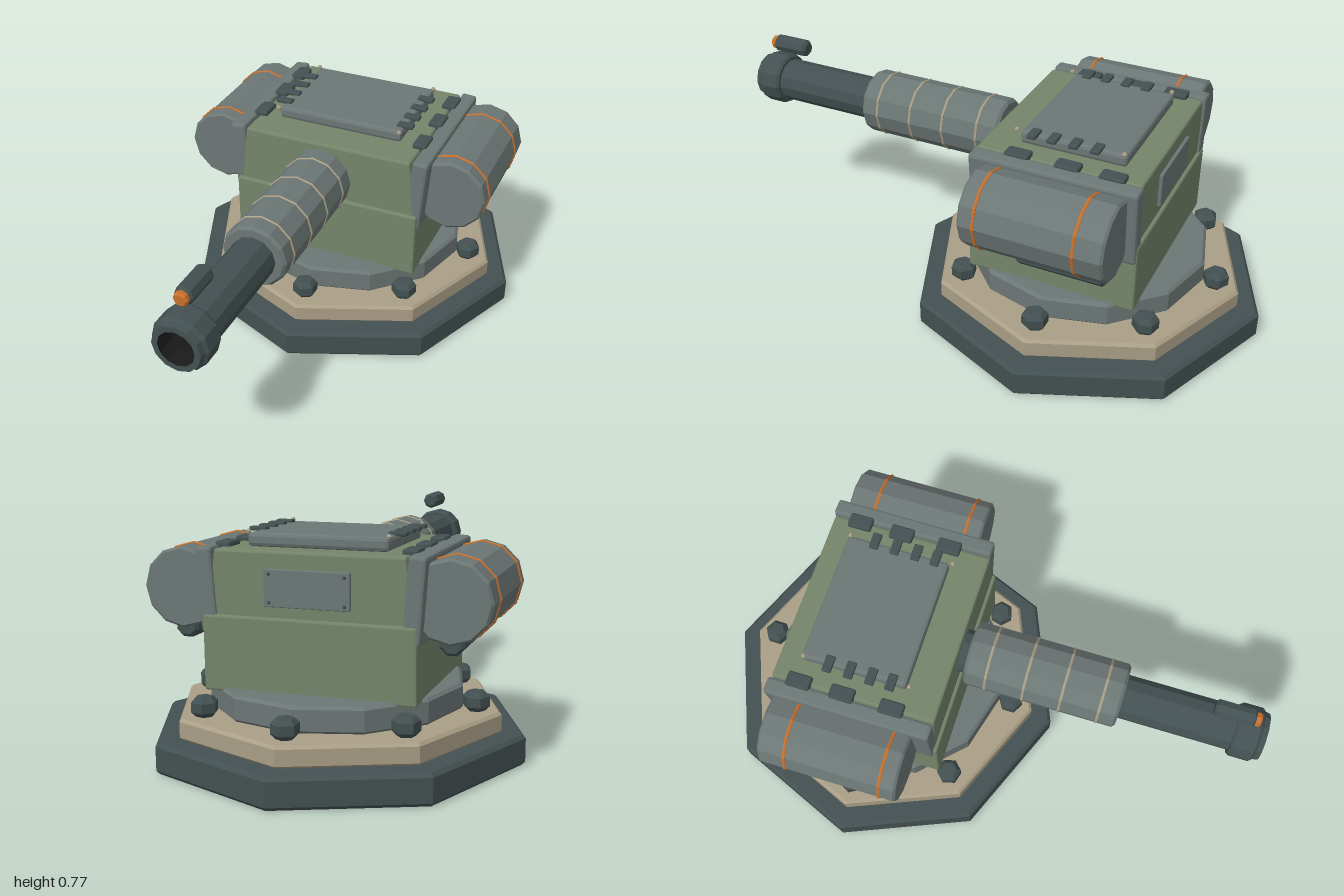
import * as THREE from 'three';
import { RoundedBoxGeometry } from 'three/addons/geometries/RoundedBoxGeometry.js';

const mat = (name, color) => {
  const m = new THREE.MeshStandardMaterial({ color, flatShading: true });
  m.name = name;
  return m;
};

export function createModel() {
  const dark = mat('dark steel', 0x435051);
  const grey = mat('grey steel', 0x6c7775);
  const tan = mat('sand', 0xaa9f86);
  const green = mat('olive green', 0x74846a);
  const orange = mat('orange', 0xc8702c);
  const black = mat('bore black', 0x1c1c1c);

  const model = new THREE.Group();
  model.name = 'turret';
  const cz = -0.36; // turntable centre

  const add = (name, geo, material, x = 0, y = 0, z = 0, parent = model) => {
    const m = new THREE.Mesh(geo, material);
    m.name = name;
    m.position.set(x, y, z);
    parent.add(m);
    return m;
  };
  // Chamfered disc or drum standing on y = 0
  const drum = (r, h, sides, c) => new THREE.LatheGeometry(
    [[0, 0], [r - c, 0], [r, c], [r, h - c], [r - c, h], [0, h]].map(p => new THREE.Vector2(...p)), sides);
  // The same lying along z, starting at z = 0
  const drumZ = (r, l, sides, c) => drum(r, l, sides, c).rotateX(Math.PI / 2);
  const block = (w, h, d, c = 0.008) => new RoundedBoxGeometry(w, h, d, 1, c);

  // Stepped base
  add('basePlate', drum(0.64, 0.103, 8, 0.012), dark, 0, 0, cz);
  add('baseRing', drum(0.56, 0.072, 8, 0.01), tan, 0, 0.1, cz);
  add('turntable', drum(0.43, 0.088, 12, 0.01), grey, 0, 0.17, cz);

  // Bolts around the base
  for (let i = 0; i < 8; i++) {
    const a = i * Math.PI / 4;
    const bolt = add('baseBolt', drum(0.045, 0.064, 6, 0.016), dark,
      0.475 * Math.sin(a), 0.172, cz + 0.475 * Math.cos(a));
    bolt.rotation.y = a;
  }

  // Housing: lower block and a tapered upper block
  add('lowerHousing', block(0.71, 0.25, 0.6), green, 0, 0.37, -0.355);
  const upper = block(0.68, 0.225, 0.575);
  const pos = upper.attributes.position;
  for (let i = 0; i < pos.count; i++) {
    pos.setX(i, pos.getX(i) * (0.97 - 0.35 * pos.getY(i)));
  }
  add('upperHousing', upper, green, 0, 0.592, -0.355);

  // Rear service panel
  add('rearPanel', block(0.285, 0.12, 0.014, 0.003), grey, 0, 0.59, -0.647);
  for (const x of [-0.125, 0.125]) for (const y of [0.545, 0.635]) {
    add('panelRivet', new THREE.SphereGeometry(0.006, 6, 4), dark, x, y, -0.654);
  }

  // Roof hatch
  add('roofHatch', block(0.475, 0.045, 0.37, 0.012), grey, 0, 0.727, -0.375);

  // Mirrored side parts
  for (const s of [-1, 1]) {
    const bracket = add('sideBracket', block(0.058, 0.275, 0.582, 0.01), grey, s * 0.343, 0.572, -0.36);
    bracket.rotation.z = -s * 0.075;

    const pod = new THREE.Group();
    pod.name = 'sidePod';
    pod.position.set(s * 0.446, 0.57, 0);
    model.add(pod);
    add('podDrum', drumZ(0.134, 0.49, 12, 0.008), grey, 0, 0, -0.617, pod);
    for (const z of [-0.185, -0.52]) {
      add('podBand', new THREE.TorusGeometry(0.133, 0.006, 6, 12), orange, 0, 0, z, pod);
    }
    add('podRail', drumZ(0.043, 0.305, 8, 0.01).rotateZ(Math.PI / 8), dark, 0, -0.13, -0.592, pod);

    for (const z of [-0.545, -0.392, -0.218]) {
      add('roofBlock', block(0.052, 0.03, 0.085, 0.007), dark, s * 0.312, 0.706, z);
    }
    for (const z of [-0.46, -0.385, -0.31, -0.24]) {
      add('hatchClip', block(0.06, 0.014, 0.032, 0.004), dark, s * 0.238, 0.752, z);
    }
    for (const z of [-0.55, -0.178]) {
      add('hatchRivet', new THREE.SphereGeometry(0.009, 6, 4), tan, s * 0.235, 0.752, z);
    }
  }

  // Gun along +z
  const gun = new THREE.Group();
  gun.name = 'gun';
  gun.position.set(0, 0.594, 0);
  model.add(gun);
  add('gunNeck', drumZ(0.078, 0.1, 12, 0.004), dark, 0, 0, -0.12, gun);
  add('gunSleeve', drumZ(0.115, 0.545, 12, 0.01), grey, 0, 0, -0.037, gun);
  for (const z of [0.042, 0.177, 0.308, 0.442]) {
    add('sleeveBand', new THREE.TorusGeometry(0.114, 0.005, 6, 12), tan, 0, 0, z, gun);
  }
  const turned = pts => new THREE.LatheGeometry(pts.map(p => new THREE.Vector2(...p)), 12).rotateX(Math.PI / 2);
  add('barrel', turned([[0.078, 0.49], [0.078, 0.9]]), dark, 0, 0, 0, gun);
  add('muzzle', turned([[0.076, 0.895], [0.088, 0.895], [0.096, 0.905], [0.096, 0.972],
    [0.086, 0.982], [0.082, 1], [0.062, 1]]), dark, 0, 0, 0, gun);
  add('bore', turned([[0.062, 1], [0.062, 0.93], [0, 0.93]]), black, 0, 0, 0, gun);

  // Sight above the muzzle
  add('sightBody', drumZ(0.032, 0.14, 8, 0.01), dark, 0, 0.74, 0.802);
  add('sightLens', drumZ(0.025, 0.03, 8, 0.006), orange, 0, 0.74, 0.928);

  return model;
}
